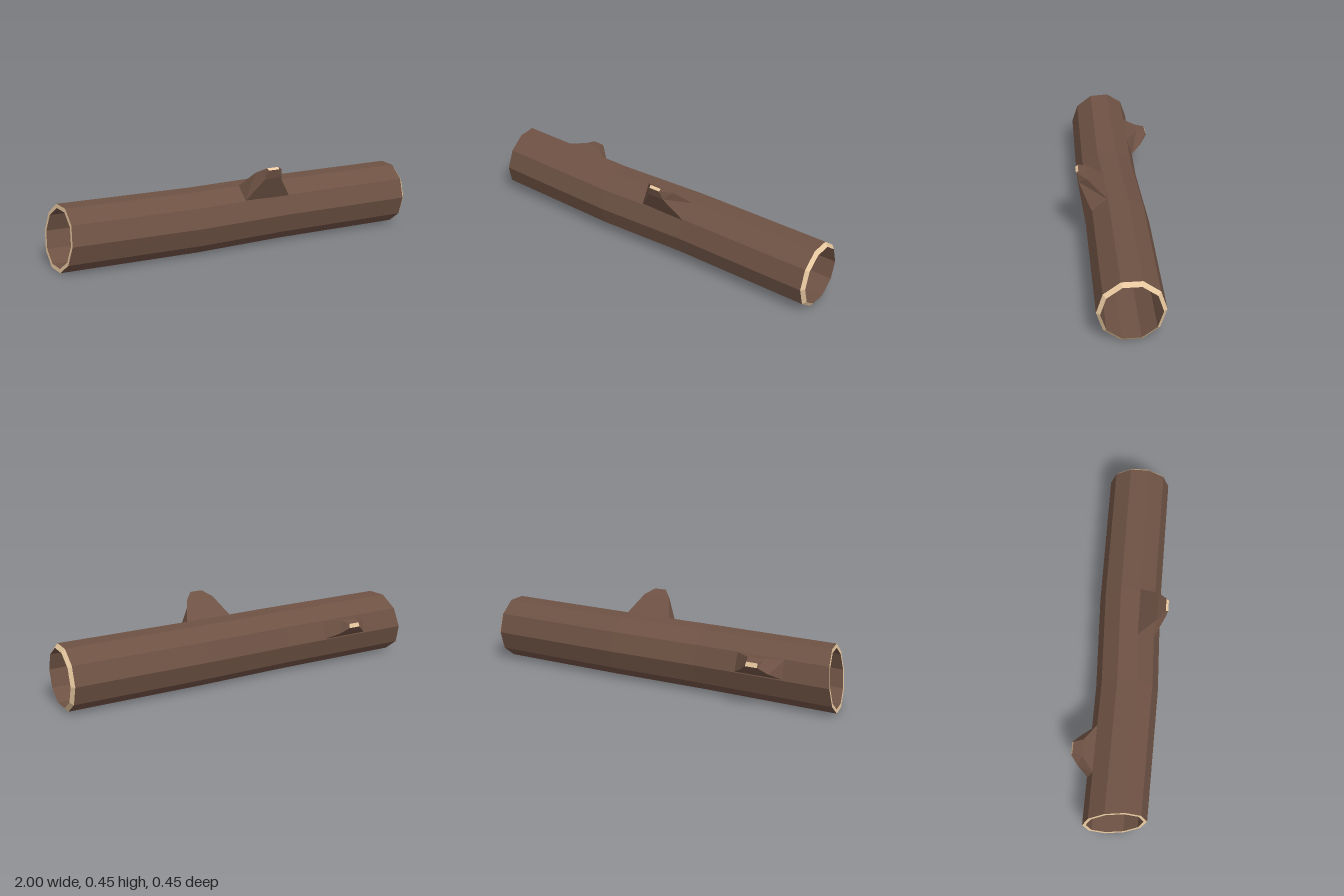
import * as THREE from 'three';

const SIDES = 10;
const bark = new THREE.MeshStandardMaterial({ color: 0x6e5244, flatShading: true });
const cutWood = new THREE.MeshStandardMaterial({ color: 0xe8c9a0, flatShading: true });

// Skin a list of rings (equal numbers of Vector3) with flat faces
function loft(name, rings, material) {
  const pos = [];
  const n = rings[0].length;
  for (let i = 0; i < rings.length - 1; i++) {
    for (let j = 0; j < n; j++) {
      const k = (j + 1) % n;
      const a = rings[i][j], b = rings[i + 1][j], c = rings[i + 1][k], d = rings[i][k];
      for (const p of [a, b, c, a, c, d]) pos.push(p.x, p.y, p.z);
    }
  }
  const geo = new THREE.BufferGeometry();
  geo.setAttribute('position', new THREE.Float32BufferAttribute(pos, 3));
  geo.computeVertexNormals();
  const mesh = new THREE.Mesh(geo, material);
  mesh.name = name;
  return mesh;
}

// Ten-sided ring across the log; slant tilts the cut plane
function logRing([x, cy, cz], ry, rz, slant = 0) {
  return Array.from({ length: SIDES }, (_, j) => {
    const a = (j / SIDES) * Math.PI * 2;
    const dy = Math.sin(a) * ry, dz = Math.cos(a) * rz;
    return new THREE.Vector3(x + slant * (dy + dz), cy + dy, cz + dz);
  });
}

function createLog() {
  const log = new THREE.Group();
  log.name = 'hollowLog';
  // Gently bent centre line: x, y, z
  const path = [[-0.972, 0.168, 0.023], [-0.25, 0.165, 0.036], [0.25, 0.168, 0.019], [0.983, 0.168, 0.023]];
  const slants = [0.125, 0, 0, 0];
  const outer = path.map((p, i) => logRing(p, 0.173, 0.165, slants[i]));
  const inner = path.map((p, i) =>
    logRing(i === 3 ? [1, p[1], p[2]] : p, 0.152, 0.147, slants[i]));
  log.add(
    loft('outerBark', outer, bark),
    loft('innerWall', [...inner].reverse(), bark),
    loft('rightRim', [outer[3], inner[3]], cutWood),
    loft('leftRim', [inner[0], outer[0]], cutWood)
  );
  return log;
}

// Tapered stub: each section has an upper and a lower edge [halfWidth, y, z]
function createBranch(name, cx, dir, sections) {
  const branch = new THREE.Group();
  branch.name = name;
  const rings = sections.map(([u, l]) => [
    new THREE.Vector3(cx - dir * u[0], u[1], u[2]),
    new THREE.Vector3(cx + dir * u[0], u[1], u[2]),
    new THREE.Vector3(cx + dir * l[0], l[1], l[2]),
    new THREE.Vector3(cx - dir * l[0], l[1], l[2]),
  ]);
  const tip = rings[rings.length - 1];
  const centre = tip.reduce((s, p) => s.add(p), new THREE.Vector3()).divideScalar(4);
  branch.add(
    loft('stub', rings, bark),
    loft('cutTip', [tip, tip.map(() => centre)], cutWood)
  );
  return branch;
}

export function createModel() {
  const model = new THREE.Group();
  model.name = 'log';
  model.add(createLog());
  // Front stub rises from the upper front facet
  model.add(createBranch('frontBranch', 0.133, 1, [
    [[0.13, 0.331, 0.074], [0.13, 0.268, 0.156]],
    [[0.077, 0.42, 0.17], [0.045, 0.39, 0.214]],
    [[0.033, 0.448, 0.213], [0.03, 0.438, 0.226]],
  ]));
  // Back stub sticks out of the upper back facet
  model.add(createBranch('backBranch', -0.615, -1, [
    [[0.13, 0.267, -0.1], [0.13, 0.172, -0.135]],
    [[0.045, 0.272, -0.165], [0.077, 0.207, -0.19]],
    [[0.03, 0.265, -0.217], [0.033, 0.243, -0.225]],
  ]));
  return model;
}
